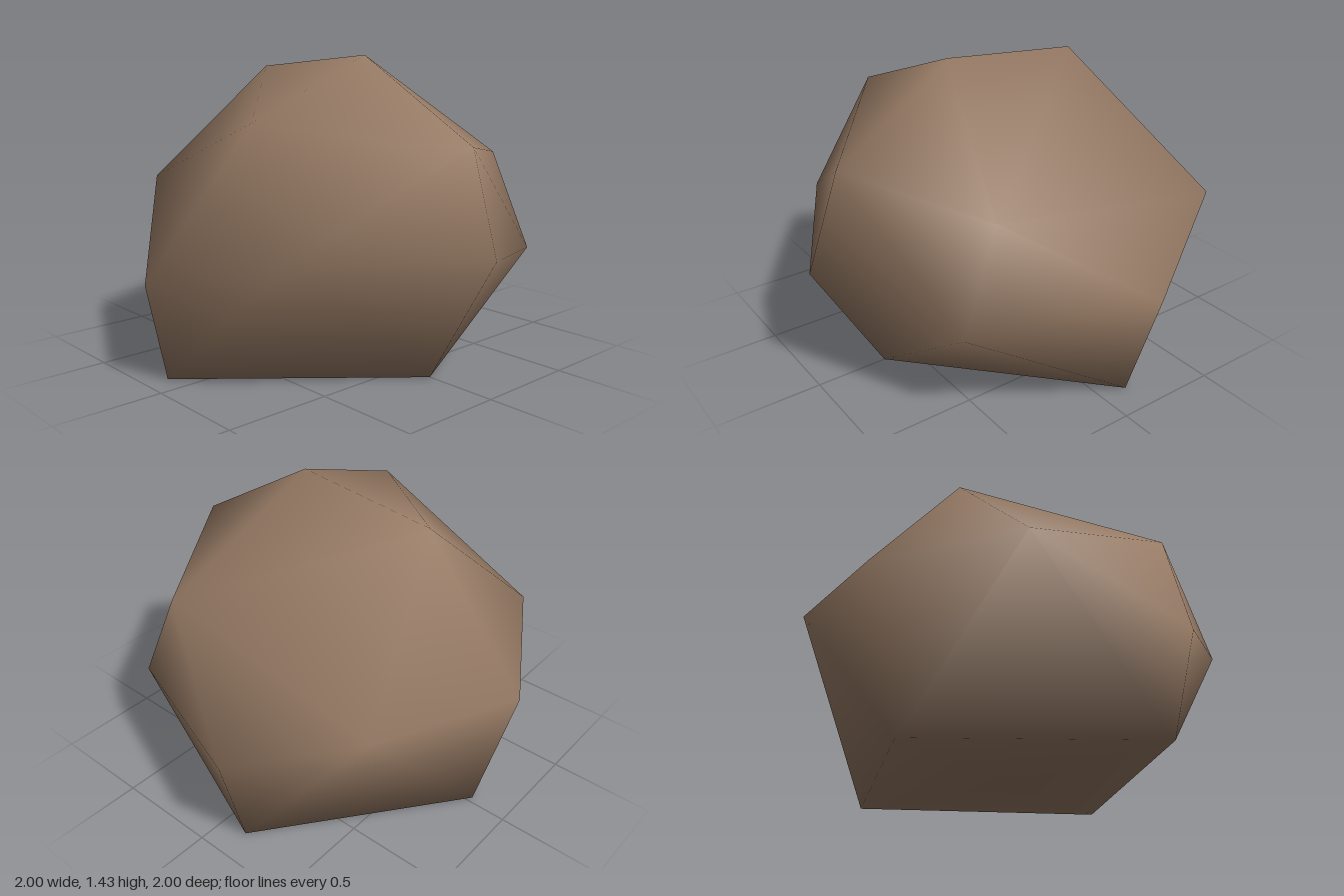
import * as THREE from 'three';

// Boulder corners, keyed by the signs of their direction (x y z) on a once-divided octahedron
const corners = {
  // crown
  '0,1,0': [0.24, 1.43, 0.02],
  '1,1,0': [0.845, 1.06, -0.03],
  '-1,1,0': [-0.47, 1.36, 0.03],
  '0,1,1': [0.28, 1.17, 0.7],
  '0,1,-1': [0.46, 0.95, -0.655],
  // waist
  '1,0,0': [1, 0.6, -0.01],
  '1,0,1': [0.58, 0.63, 0.77],
  '0,0,1': [-0.1, 0.46, 1],
  '-1,0,1': [-0.66, 0.83, 0.58],
  '-1,0,0': [-1, 0.72, 0.01],
  '-1,0,-1': [-0.735, 0.78, -0.7],
  '0,0,-1': [-0.17, 0.53, -1],
  '1,0,-1': [0.655, 0.49, -0.7],
  // flat base
  '1,-1,0': [0.655, 0, 0],
  '-1,-1,0': [-0.81, 0, 0.03],
  '0,-1,1': [-0.12, 0, 0.89],
  '0,-1,-1': [-0.135, 0, -0.85],
  '0,-1,0': [0, 0, 0],
};

function boulderGeometry() {
  const keys = Object.keys(corners);
  const at = (x, y, z) => keys.indexOf([x, y, z].join());
  const index = [];
  // Four triangles for each of the eight octants
  for (const x of [-1, 1]) for (const y of [-1, 1]) for (const z of [-1, 1]) {
    const a = at(x, 0, 0), b = at(0, y, 0), c = at(0, 0, z);
    const ab = at(x, y, 0), bc = at(0, y, z), ca = at(x, 0, z);
    for (const [p, q, r] of [[a, ab, ca], [b, bc, ab], [c, ca, bc], [ab, bc, ca]]) {
      if (x * y * z > 0) index.push(p, q, r);
      else index.push(p, r, q);
    }
  }
  const geometry = new THREE.BufferGeometry();
  geometry.setAttribute('position', new THREE.Float32BufferAttribute(keys.flatMap((k) => corners[k]), 3));
  geometry.setIndex(index);
  geometry.computeVertexNormals(); // shared corners give smooth shading
  return geometry;
}

export function createModel() {
  const stone = new THREE.MeshStandardMaterial({ color: 0x967a64 });
  stone.name = 'brownStone';

  const boulder = new THREE.Mesh(boulderGeometry(), stone);
  boulder.name = 'boulder';

  const model = new THREE.Group();
  model.name = 'rock';
  model.add(boulder);
  return model;
}
